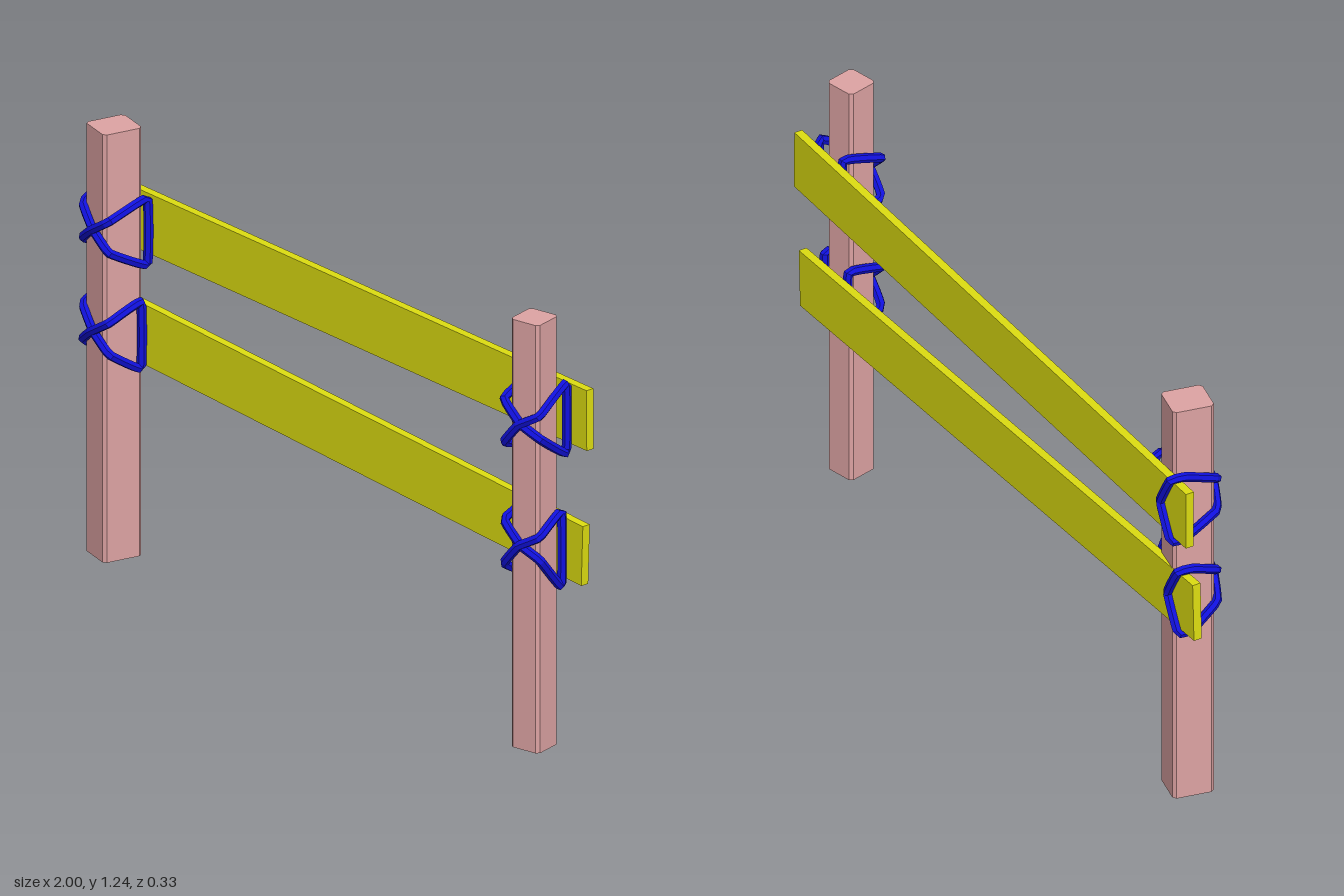
import * as THREE from 'three';

const wood = new THREE.MeshStandardMaterial({ color: 0xdda3a3, flatShading: true });
const plank = new THREE.MeshStandardMaterial({ color: 0xdddd11, flatShading: true });
const cord = new THREE.MeshStandardMaterial({ color: 0x1111dd, flatShading: true });

// Square post with narrow chamfers along its upright edges
function post(name, x, z, w, d, y0, y1, turn) {
  const a = w / 2, b = d / 2, c = 0.009;
  const shape = new THREE.Shape([
    [-a + c, -b], [a - c, -b], [a, -b + c], [a, b - c],
    [a - c, b], [-a + c, b], [-a, b - c], [-a, -b + c],
  ].map(([u, v]) => new THREE.Vector2(u, v)));
  const geo = new THREE.ExtrudeGeometry(shape, { depth: y1 - y0, bevelEnabled: false });
  geo.rotateX(-Math.PI / 2);
  const mesh = new THREE.Mesh(geo, wood);
  mesh.name = name;
  mesh.position.set(x, y0, z);
  mesh.rotation.y = turn;
  return mesh;
}

// Flat board running between two end centres
function rail(name, from, to) {
  const dir = to.clone().sub(from);
  const mesh = new THREE.Mesh(new THREE.BoxGeometry(dir.length(), 0.172, 0.024), plank);
  mesh.name = name;
  mesh.position.copy(from).add(to).multiplyScalar(0.5);
  mesh.quaternion.setFromUnitVectors(new THREE.Vector3(1, 0, 0), dir.normalize());
  return mesh;
}

// Closed cord through the given points, nearly straight between them
function lashing(name, points) {
  const curve = new THREE.CatmullRomCurve3(
    points.map((p) => new THREE.Vector3(...p)), true, 'catmullrom', 0.12);
  const mesh = new THREE.Mesh(new THREE.TubeGeometry(curve, 90, 0.013, 6, true), cord);
  mesh.name = name;
  return mesh;
}

export function createModel() {
  const group = new THREE.Group();
  group.add(post('rightPost', -0.865, -0.045, 0.106, 0.116, 0, 1.225, -0.28));
  group.add(post('leftPost', 0.868, 0.093, 0.092, 0.092, 0.01, 1.235, 0.17));

  const rails = [
    ['upper', new THREE.Vector3(-0.998, 0.945, -0.132), new THREE.Vector3(0.995, 0.955, 0.011)],
    ['lower', new THREE.Vector3(-0.998, 0.645, -0.108), new THREE.Vector3(0.995, 0.572, 0.028)],
  ];
  for (const [level, a, b] of rails) {
    group.add(rail(level + 'Rail', a, b));
    const zAt = (x) => THREE.MathUtils.lerp(a.z, b.z, (x + 1) / 2);

    // Right post: crossed in front, hooked round the back of the rail on the outer side
    let y = level === 'upper' ? 0.945 : 0.655;
    const zo = zAt(-0.93), zi = zAt(-0.79) + 0.026;
    const top = a.y + 0.095, bottom = a.y - 0.098;
    group.add(lashing(level + 'RightLashing', [
      [-0.93, top, zo - 0.02], [-0.938, top, zo + 0.022],
      [-0.936, y + 0.05, 0.0], [-0.87, y, 0.028], [-0.8, y - 0.045, 0.036],
      [-0.786, y - 0.11, zi], [-0.786, y + 0.08, zi],
      [-0.8, y + 0.045, 0.036], [-0.87, y, 0.034], [-0.936, y - 0.05, 0.0],
      [-0.938, bottom, zo + 0.022], [-0.93, bottom, zo - 0.02],
      [-0.878, a.y, zAt(-0.878) - 0.02],
    ]));

    // Left post: crossed in front, tied between post and rail
    y = level === 'upper' ? 0.945 : 0.598;
    const zl = zAt(0.8) + 0.025, zr = zAt(0.92) + 0.025;
    const drop = level === 'upper' ? 0.1 : 0.13;
    const rise = level === 'upper' ? 0.1 : 0.085;
    group.add(lashing(level + 'LeftLashing', [
      [0.805, y + rise, zl], [0.812, y + 0.058, 0.15], [0.87, y, 0.147],
      [0.928, y - 0.03, 0.132], [0.924, y - drop, zr], [0.924, y + rise, zr],
      [0.928, y + 0.035, 0.132], [0.87, y, 0.153], [0.812, y - 0.068, 0.15],
      [0.81, y - drop, zl],
    ]));
  }
  return group;
}
